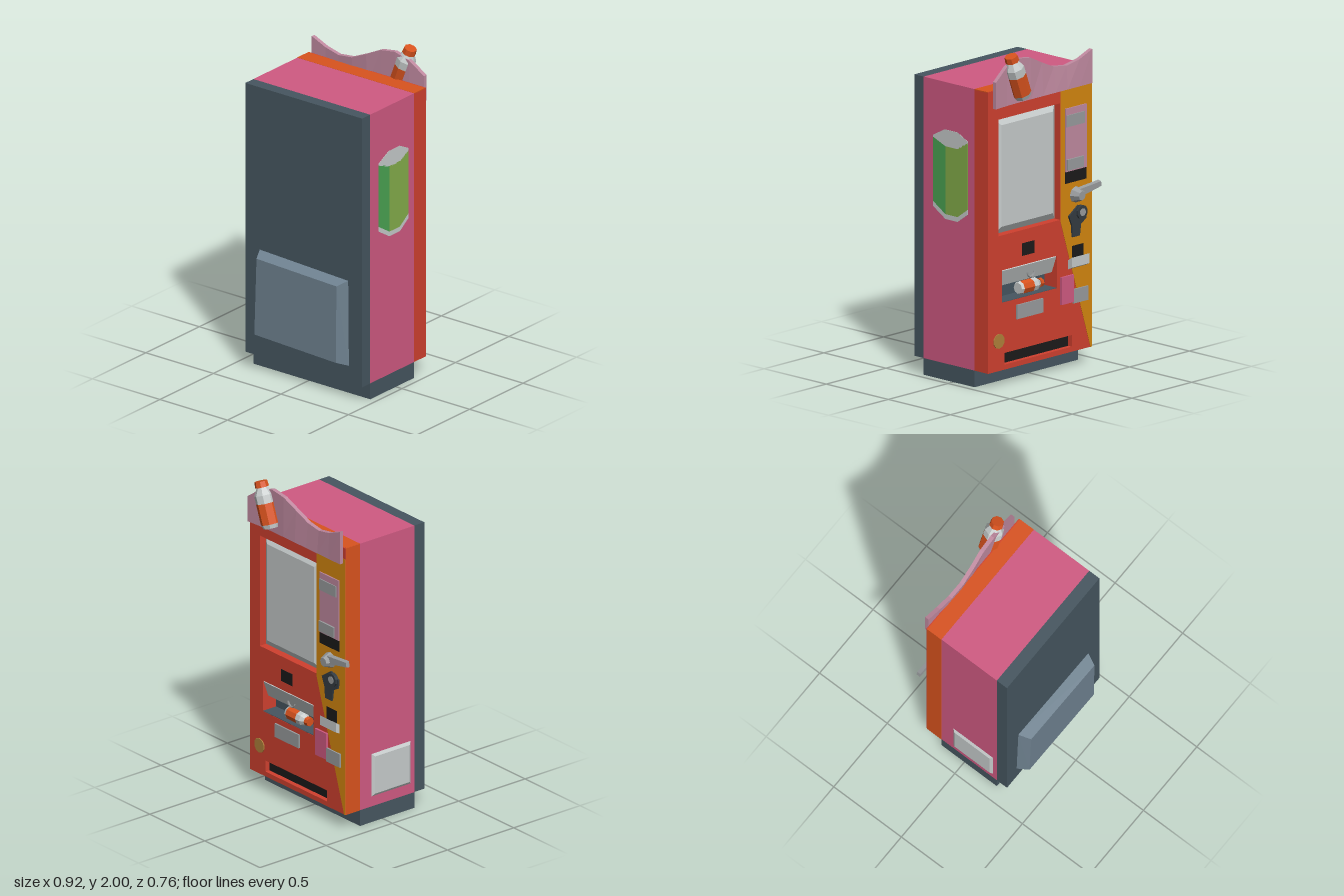
import * as THREE from 'three';
import { ConvexGeometry } from 'three/addons/geometries/ConvexGeometry.js';

const C = {
  pink: 0xd05a82, red: 0xd0402f, orange: 0xd9531e, amber: 0xd4860f, slate: 0x465660,
  steel: 0x6f8290, grey: 0xc6cbcb, midGrey: 0x999c9e, black: 0x1c1a1a, dark: 0x343c42,
  rose: 0xc08aa0, gold: 0xb0803a, green: 0x4aa352, lime: 0x84ad4a,
};
const FACE = -0.28; // plane of the door

const mat = (color) => new THREE.MeshStandardMaterial({ color, flatShading: true });

export function createModel() {
  const root = new THREE.Group();

  const add = (name, color, geometry, parent = root) => {
    const mesh = new THREE.Mesh(geometry, mat(color));
    mesh.name = name;
    parent.add(mesh);
    return mesh;
  };
  // Box given by its bounds
  const block = (name, color, x0, x1, y0, y1, z0, z1) => {
    const mesh = add(name, color, new THREE.BoxGeometry(x1 - x0, y1 - y0, z1 - z0));
    mesh.position.set((x0 + x1) / 2, (y0 + y1) / 2, (z0 + z1) / 2);
    return mesh;
  };
  // Box standing out of the door
  const onDoor = (name, color, x0, x1, y0, y1, out) =>
    block(name, color, x0, x1, y0, y1, FACE - out, FACE + 0.005);
  const outline = (pts) => new THREE.Shape(pts.map(([x, y]) => new THREE.Vector2(x, y)));
  // Flat plate on the door
  const plate = (name, color, pts, out) => {
    const mesh = add(name, color, new THREE.ExtrudeGeometry(outline(pts), { depth: out, bevelEnabled: false }));
    mesh.position.z = FACE - out;
    return mesh;
  };
  const rect = (x0, x1, y0, y1) => [[x0, y0], [x1, y0], [x1, y1], [x0, y1]];
  // Bevelled panel between a base outline at z0 and a face outline at z1
  const bevelled = (name, color, base, face, z0, z1) => add(name, color, new ConvexGeometry([
    ...base.map(([x, y]) => new THREE.Vector3(x, y, z0)),
    ...face.map(([x, y]) => new THREE.Vector3(x, y, z1)),
  ]));

  // Cabinet
  block('plinth', C.slate, -0.41, 0.455, 0, 0.1, -0.17, 0.24);
  block('cabinet', C.pink, -0.41, 0.455, 0.1, 1.79, -0.17, 0.24);
  block('rearCover', C.slate, -0.41, 0.455, 0.1, 1.79, 0.24, 0.315);
  bevelled('rearHousing', C.steel,
    [[-0.304, 0.77], [0.352, 0.743], [0.357, 0.209], [-0.32, 0.23]],
    [[-0.272, 0.743], [0.32, 0.722], [0.315, 0.24], [-0.288, 0.262]], 0.314, 0.385);

  // Door with openings for window, delivery bay and bottom slot
  const openings = {
    window: [-0.148, 0.368, 0.91, 1.61],
    bay: [-0.119, 0.339, 0.505, 0.7],
    slot: [-0.245, 0.317, 0.13, 0.2],
  };
  const doorShape = outline(rect(-0.41, 0.455, 0.1, 1.79));
  for (const o of Object.values(openings)) doorShape.holes.push(outline(rect(...o)));
  const door = add('door', C.red, new THREE.ExtrudeGeometry(doorShape, { depth: 0.11, bevelEnabled: false }));
  door.position.z = FACE;
  block('doorTop', C.orange, -0.41, 0.455, 1.785, 1.791, -0.274, -0.17);
  block('doorSide', C.orange, -0.412, -0.408, 0.1, 1.79, -0.276, -0.17);
  plate('amberPanel', C.amber,
    [[-0.149, 1.72], [-0.41, 1.72], [-0.41, 0.1], [-0.4, 0.1], [-0.149, 0.9]], 0.002);

  // Window pane
  bevelled('window', C.grey, rect(-0.146, 0.366, 0.912, 1.608), rect(-0.105, 0.325, 0.955, 1.565), -0.235, -0.262);

  // Delivery bay with flap and bottle
  block('bayBack', C.slate, -0.119, 0.339, 0.505, 0.7, -0.18, -0.168);
  block('bayFloor', C.slate, -0.119, 0.339, 0.5, 0.508, -0.278, -0.17);
  const flap = block('flap', C.grey, -0.115, 0.335, 0.595, 0.7, -0.262, -0.25);
  flap.rotation.x = -0.35;
  const grip = add('flapHandle', C.midGrey, new THREE.TorusGeometry(0.03, 0.006, 5, 8, Math.PI));
  grip.position.set(0.09, 0.645, -0.272);
  grip.rotation.z = Math.PI;

  block('slotBack', C.black, -0.245, 0.317, 0.13, 0.2, -0.25, -0.24);

  // Bill unit
  onDoor('billPanel', C.rose, -0.36, -0.185, 1.19, 1.57, 0.01);
  onDoor('billPanelBase', C.black, -0.36, -0.185, 1.12, 1.19, 0.008);
  onDoor('billDisplay', C.midGrey, -0.34, -0.19, 1.46, 1.53, 0.016);
  onDoor('billSlot', C.midGrey, -0.325, -0.19, 1.2, 1.265, 0.021);

  // Turning lever
  const hub = add('leverHub', C.midGrey, new THREE.CylinderGeometry(0.028, 0.05, 0.055, 8));
  hub.rotation.x = -Math.PI / 2;
  hub.position.set(-0.275, 1.04, -0.308);
  bevelled('lever', C.midGrey, [[-0.27, 1.02], [-0.27, 1.08], [-0.455, 1.095], [-0.46, 1.058]],
    [[-0.27, 1.025], [-0.27, 1.075], [-0.455, 1.09], [-0.46, 1.062]], -0.29, -0.314);

  // Lock
  plate('lockPlate', C.dark, [[-0.21, 0.92], [-0.29, 0.975], [-0.36, 0.94], [-0.355, 0.885],
    [-0.31, 0.86], [-0.3, 0.79], [-0.24, 0.79], [-0.235, 0.86]], 0.013);
  const disc = (name, color, r, x, y, out) => {
    const mesh = add(name, color, new THREE.CylinderGeometry(r, r, out + 0.005, 10));
    mesh.rotation.x = Math.PI / 2;
    mesh.position.set(x, y, FACE - (out - 0.005) / 2);
  };
  disc('lockRing', C.dark, 0.042, -0.31, 0.93, 0.025);
  disc('lockCore', C.midGrey, 0.023, -0.31, 0.93, 0.029);
  disc('goldBadge', C.gold, 0.045, 0.368, 0.28, 0.006);

  // Coin return
  onDoor('coinOpening', C.black, -0.337, -0.243, 0.64, 0.735, 0.005);
  bevelled('coinCup', C.grey, rect(-0.36, -0.215, 0.6, 0.655), rect(-0.36, -0.215, 0.615, 0.675), FACE, -0.31);

  // Smaller fittings
  onDoor('cardReader', C.pink, -0.25, -0.148, 0.4, 0.565, 0.013);
  onDoor('receiptBox', C.midGrey, -0.373, -0.25, 0.39, 0.475, 0.012);
  onDoor('sensor', C.black, 0.07, 0.17, 0.755, 0.83, 0.003);
  onDoor('bayPlate', C.midGrey, 0.004, 0.222, 0.385, 0.47, 0.01);

  // Side vent
  const vent = bevelled('sideVent', C.grey, rect(-0.215, 0.085, 0.16, 0.435), rect(-0.195, 0.065, 0.18, 0.415), 0, 0.014);
  vent.rotation.y = -Math.PI / 2;
  vent.position.x = -0.408;
  vent.scale.x = 1;
  // the rotated local x runs along +z
  vent.position.z = 0.13;

  // Side picture of a can, drawn as (z, y) and laid on the left side
  const decal = (name, color, pts) => {
    const mesh = add(name, color, new THREE.ExtrudeGeometry(
      outline(pts.map(([z, y]) => [-z, y])), { depth: 0.004, bevelEnabled: false }));
    mesh.rotation.y = Math.PI / 2;
    mesh.position.x = 0.453;
  };
  decal('canTop', C.grey, [[0.164, 1.455], [0.07, 1.505], [-0.035, 1.505], [-0.116, 1.465],
    [-0.116, 1.45], [-0.035, 1.405], [0.063, 1.405], [0.164, 1.445]]);
  decal('canShadeSide', C.green, [[0.164, 1.447], [0.063, 1.41], [0.063, 0.997], [0.164, 1.06]]);
  decal('canLightSide', C.lime, [[0.063, 1.41], [-0.035, 1.41], [-0.116, 1.455], [-0.116, 1.055],
    [-0.035, 0.997], [0.063, 0.997]]);
  decal('canBottom', C.grey, [[0.164, 1.06], [0.063, 0.997], [-0.035, 0.997], [-0.116, 1.055],
    [-0.116, 1.025], [-0.035, 0.968], [0.063, 0.968], [0.164, 1.03]]);

  // Wavy crown: a box whose columns follow the wave
  const tops = [1.895, 1.853, 1.832, 1.845, 1.89, 1.94, 1.955, 1.925, 1.85];
  const lean = [0, 0.003, 0.01, 0.014, 0.01, 0.002, 0, -0.004, -0.014];
  const wave = new THREE.BoxGeometry(0.82, 1, 0.025, 8, 1, 1);
  const p = wave.attributes.position;
  for (let i = 0; i < p.count; i++) {
    const col = Math.round((p.getX(i) + 0.41) / 0.1025);
    const top = p.getY(i) > 0;
    p.setXYZ(i, p.getX(i) + 0.02, top ? tops[col] : 1.69,
      p.getZ(i) - 0.293 + (top ? lean[col] : Math.min(lean[col], 0)));
  }
  add('crown', C.rose, wave.toNonIndexed()).geometry.computeVertexNormals();

  // Eight-sided bottles, each made of stacked rings
  const bottle = (name, scale) => {
    const g = new THREE.Group();
    g.name = name;
    const rings = [
      ['bottleBase', C.grey, 0.048, 0.058, 0, 0.025],
      ['bottleLabel', C.orange, 0.058, 0.058, 0.025, 0.15],
      ['bottleBody', C.grey, 0.058, 0.058, 0.15, 0.2],
      ['bottleShoulder', C.grey, 0.058, 0.032, 0.2, 0.245],
      ['bottleCap', C.orange, 0.042, 0.038, 0.245, 0.28],
    ];
    for (const [part, color, r0, r1, y0, y1] of rings) {
      add(part, color, new THREE.CylinderGeometry(r1, r0, y1 - y0, 8), g).position.y = (y0 + y1) / 2;
    }
    g.scale.setScalar(scale);
    root.add(g);
    return g;
  };
  const sign = bottle('crownBottle', 1);
  sign.position.set(0.21, 1.725, -0.322);
  sign.rotation.z = -0.36;
  const sold = bottle('deliveredBottle', 0.7);
  sold.position.set(0.16, 0.55, -0.235);
  sold.rotation.z = Math.PI / 2;

  return root;
}
